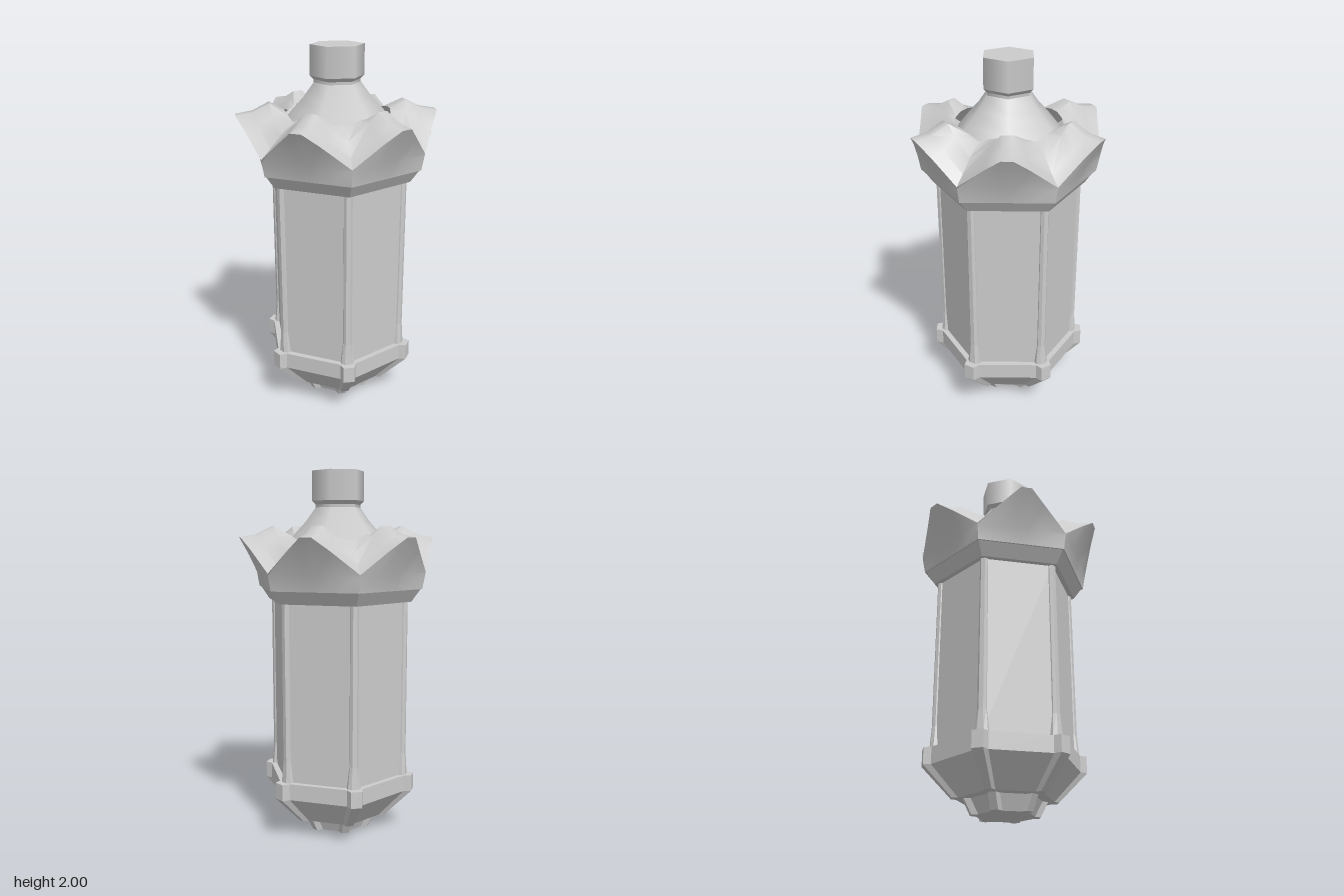
import * as THREE from 'three';
import { toCreasedNormals } from 'three/addons/utils/BufferGeometryUtils.js';

const HEX = Math.PI / 3;
const flat = new THREE.MeshStandardMaterial({ color: 0xcccccc, flatShading: true });
const smooth = new THREE.MeshStandardMaterial({ color: 0xcccccc, side: THREE.DoubleSide });

// Point given by radial distance u and sideways offset t around angle a
const polar = (a, u, t, y) => [
  u * Math.cos(a) - t * Math.sin(a), y, u * Math.sin(a) + t * Math.cos(a)];

// Skin a stack of closed rings, bottom to top, with optional end caps
function loft(rings, capped) {
  const pos = [];
  const tri = (...pts) => pts.forEach((p) => pos.push(...p));
  const n = rings[0].length;
  for (let r = 0; r < rings.length - 1; r++) {
    for (let i = 0; i < n; i++) {
      const j = (i + 1) % n, lo = rings[r], up = rings[r + 1];
      tri(lo[i], up[i], lo[j]);
      tri(lo[j], up[i], up[j]);
    }
  }
  if (capped) {
    const lo = rings[0], up = rings[rings.length - 1];
    for (let i = 0; i < n; i++) {
      const j = (i + 1) % n;
      tri([0, lo[0][1], 0], lo[i], lo[j]);
      tri([0, up[0][1], 0], up[j], up[i]);
    }
  }
  const g = new THREE.BufferGeometry();
  g.setAttribute('position', new THREE.Float32BufferAttribute(pos, 3));
  g.computeVertexNormals();
  return g;
}

// Hexagonal outline with a raised block of half width w on every corner
function blockRing(y, r, w, step) {
  const ring = [];
  const panel = r - step, s = w + step * 0.8, u = panel - s * Math.tan(Math.PI / 6);
  for (let k = 0; k < 6; k++) {
    const a = k * HEX;
    ring.push(polar(a, u, -s, y), polar(a, r, -w, y), polar(a, r, w, y), polar(a, u, s, y));
  }
  return ring;
}

// Crown outline: [t, u, y] at the ridge, the flank and the valley, mirrored six times
function crownRing([ridge, flank, valley]) {
  const ring = [];
  for (let k = 0; k < 6; k++) {
    const a = HEX / 2 + k * HEX;
    for (const [[t, u, y], side] of [[valley, -1], [flank, -1], [ridge, -1], [ridge, 1], [flank, 1]]) {
      ring.push(polar(a, u, side * t, y));
    }
  }
  return ring;
}

export function createModel() {
  const group = new THREE.Group();
  const add = (name, geometry, material) => {
    const mesh = new THREE.Mesh(geometry, material);
    mesh.name = name;
    group.add(mesh);
    return mesh;
  };
  // Six-sided prism; turn puts its corners on the x axis
  const prism = (name, rTop, rBottom, y0, y1, turn, material) => {
    const g = new THREE.CylinderGeometry(rTop, rBottom, y1 - y0, 6);
    if (turn) g.rotateY(HEX / 2);
    return add(name, g.translate(0, (y0 + y1) / 2, 0), material);
  };

  // Foot and flared base with corner ribs
  add('foot', loft([blockRing(0, 0.18, 0.02, 0.015), blockRing(0.08, 0.22, 0.02, 0.015)], true), flat);
  add('base', loft([
    blockRing(0.08, 0.28, 0.02, 0.012),
    blockRing(0.24, 0.435, 0.03, 0.015),
    blockRing(0.33, 0.435, 0.03, 0.015)], true), flat);

  // Panelled body, corner posts and collar
  prism('body', 0.385, 0.385, 0.32, 1.31, true, flat);
  for (let k = 0; k < 6; k++) {
    const post = add('cornerPost', loft(
      [[0.33, 0.4, 0.018], [0.45, 0.393, 0.012], [1.3, 0.393, 0.011]].map(([y, u, w]) => [
        polar(0, 0.34, -w * 2, y), polar(0, u - 0.014, -w * 2, y), polar(0, u, -w, y),
        polar(0, u, w, y), polar(0, u - 0.014, w * 2, y), polar(0, 0.34, w * 2, y)]), true), flat);
    post.rotation.y = k * HEX;
  }
  prism('collar', 0.465, 0.415, 1.3, 1.37, true, flat);

  // Crown: outer band up to the zigzag rim, then the folded top inwards
  const crown = loft([
    [[0.03, 0.36, 1.368], [0.1, 0.36, 1.368], [0.208, 0.36, 1.368]],
    [[0.03, 0.41, 1.37], [0.11, 0.41, 1.37], [0.237, 0.41, 1.37]],
    [[0.03, 0.435, 1.46], [0.11, 0.43, 1.456], [0.2445, 0.4235, 1.452]],
    [[0.03, 0.54, 1.645], [0.11, 0.495, 1.58], [0.2454, 0.425, 1.462]],
    [[0.03, 0.45, 1.66], [0.1, 0.425, 1.6], [0.217, 0.376, 1.51]],
    [[0.03, 0.36, 1.705], [0.08, 0.35, 1.655], [0.185, 0.32, 1.575]],
    [[0.03, 0.28, 1.66], [0.09, 0.27, 1.65], [0.145, 0.251, 1.63]],
  ].map(crownRing));
  add('crown', toCreasedNormals(crown, 0.8), smooth);

  // Roof cone, neck and finial
  const roof = [[0.32, 1.57], [0.245, 1.66], [0.18, 1.73], [0.125, 1.805]]
    .map(([x, y]) => new THREE.Vector2(x, y));
  add('roof', new THREE.LatheGeometry(roof, 6), smooth);
  prism('neck', 0.125, 0.125, 1.8, 1.82, false, smooth);
  prism('finialBase', 0.145, 0.125, 1.82, 1.84, false, smooth);
  prism('finial', 0.145, 0.145, 1.84, 2, false, smooth);
  return group;
}
